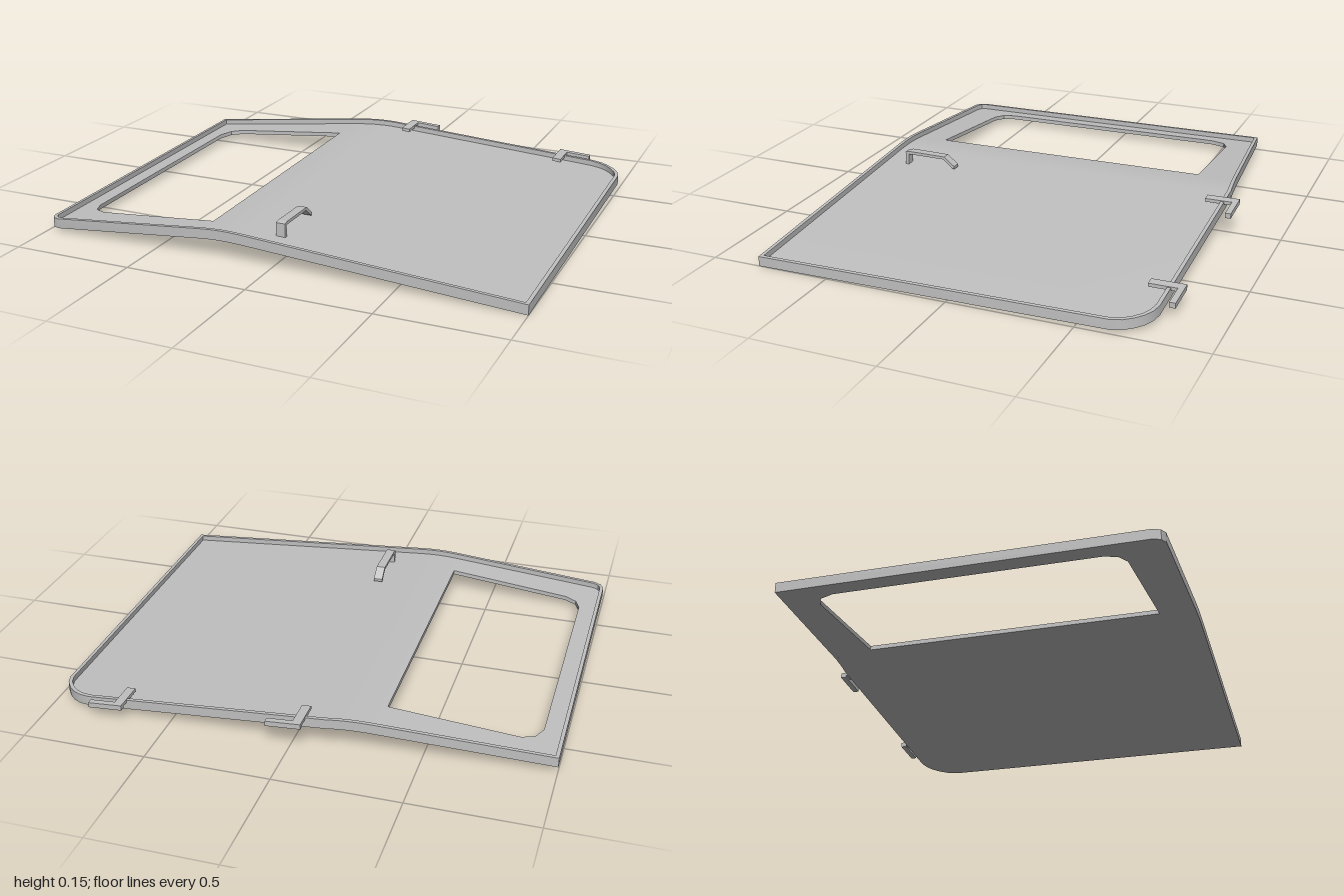
import * as THREE from 'three';
import { mergeGeometries, toCreasedNormals } from 'three/addons/utils/BufferGeometryUtils.js';

const RIM_WIDTH = 0.015, RIM_HEIGHT = 0.04, SKIN = 0.018;
const BEND = [-0.3, -0.255, -0.215, -0.175, -0.13];

// Plan outlines as [x, z]
const OUTLINE = [
  [-1, -0.655], [-0.13, -0.754], [0.84, -0.762], [0.885, -0.752], [0.92, -0.733],
  [0.95, -0.705], [0.975, -0.67], [0.988, -0.63], [1, 0.797], [-0.95, 0.805],
  [-0.98, 0.792], [-0.995, 0.765],
];
const WINDOW = [
  [-0.325, -0.557], [-0.84, -0.545], [-0.89, -0.52], [-0.915, -0.46],
  [-0.91, 0.57], [-0.89, 0.62], [-0.84, 0.645], [-0.318, 0.66],
];

// Height of the underside: two gentle slopes joined by a soft bend, slightly tilted
function underside(x, z) {
  const a = BEND[0], b = BEND[BEND.length - 1], s1 = 0.094, s2 = -0.0697;
  let y = 0.015 + (Math.min(x, a) + 1) * s1;
  if (x > a) {
    const u = Math.min(x, b) - a;
    y += s1 * u + ((s2 - s1) * u * u) / (2 * (b - a));
  }
  if (x > b) y += (x - b) * s2;
  return y + (0.8 - z) * 0.006;
}

// Keep the part of a polygon on one side of x = c
function clip(points, c, side) {
  const out = [];
  points.forEach((p, i) => {
    const q = points[(i + 1) % points.length];
    const dp = (p[0] - c) * side, dq = (q[0] - c) * side;
    if (dp >= 0) out.push(p);
    if (dp * dq < 0) out.push([c, p[1] + ((q[1] - p[1]) * dp) / (dp - dq)]);
  });
  return out;
}

// Add points where the outline crosses the bend lines
function addBendPoints(points) {
  return points.flatMap((p, i) => {
    const q = points[(i + 1) % points.length];
    const ts = BEND.map(c => (c - p[0]) / (q[0] - p[0])).filter(t => t > 0.001 && t < 0.999).sort((a, b) => a - b);
    return [p, ...ts.map(t => [p[0] + (q[0] - p[0]) * t, p[1] + (q[1] - p[1]) * t])];
  });
}

function inset(points, w) {
  const n = points.length;
  const normal = (p, q) => {
    const l = Math.hypot(q[0] - p[0], q[1] - p[1]);
    return [-(q[1] - p[1]) / l, (q[0] - p[0]) / l];
  };
  return points.map((p, i) => {
    const a = normal(points[(i + n - 1) % n], p), b = normal(p, points[(i + 1) % n]);
    const k = w / (1 + a[0] * b[0] + a[1] * b[1]);
    return [p[0] + (a[0] + b[0]) * k, p[1] + (a[1] + b[1]) * k];
  });
}

// Extrude a plan shape upward and lay it on the bent surface
function bentSlab(points, low, high, hole) {
  const toVec = ([x, z]) => new THREE.Vector2(x, -z);
  const shape = new THREE.Shape(points.map(toVec));
  if (hole) shape.holes.push(new THREE.Path(hole.map(toVec)));
  const g = new THREE.ExtrudeGeometry(shape, { depth: high - low, bevelEnabled: false });
  g.rotateX(-Math.PI / 2);
  const p = g.attributes.position;
  for (let i = 0; i < p.count; i++) p.setY(i, p.getY(i) + low + underside(p.getX(i), p.getZ(i)));
  g.computeVertexNormals();
  return g;
}

const rect = (x0, x1, z0, z1) => [[x0, z0], [x1, z0], [x1, z1], [x0, z1]];

function rimGeometry(outer, inner) {
  const rings = outer.map(([x, z], i) => {
    const [u, v] = inner[i];
    const yo = underside(x, z), yi = underside(u, v);
    return [[x, yo, z], [x, yo + RIM_HEIGHT, z], [u, yi + RIM_HEIGHT, v], [u, yi, v]];
  });
  const pos = [];
  rings.forEach((r, i) => {
    const s = rings[(i + 1) % rings.length];
    for (let k = 0; k < 4; k++) {
      const m = (k + 1) % 4;
      pos.push(...r[k], ...r[m], ...s[m], ...r[k], ...s[m], ...s[k]);
    }
  });
  const g = new THREE.BufferGeometry();
  g.setAttribute('position', new THREE.Float32BufferAttribute(pos, 3));
  return toCreasedNormals(g, 0.5);
}

export function createModel() {
  const model = new THREE.Group();
  const grey = new THREE.MeshStandardMaterial({ color: 0xc0c0c0 });
  grey.name = 'light grey';
  const add = (name, geometry, parent = model) => {
    const mesh = new THREE.Mesh(geometry, grey);
    mesh.name = name;
    parent.add(mesh);
  };

  // Door skin, cut into strips along the bend, with the window opening
  const outer = addBendPoints(OUTLINE);
  const inner = inset(outer, RIM_WIDTH);
  const limits = [-2, ...BEND, 2];
  const strips = limits.slice(1).map((end, i) =>
    bentSlab(clip(clip(inner, limits[i], 1), end, -1), 0, SKIN, i === 0 ? WINDOW : null));
  add('doorSkin', toCreasedNormals(mergeGeometries(strips), 0.5));

  // Raised rim around the edge
  add('rim', rimGeometry(outer, inner));

  // Hinges on the back edge
  [['leftHinge', 0.677], ['rightHinge', -0.055]].forEach(([name, x]) => {
    const hinge = new THREE.Group();
    hinge.name = name;
    add('hingeStrap', bentSlab(rect(x, x + 0.037, -0.79, -0.675), 0.03, 0.044), hinge);
    add('hingeArm', bentSlab(rect(x, x + 0.14, -0.811, -0.787), 0.023, 0.044), hinge);
    model.add(hinge);
  });

  // Pull handle, profile as [z, y]
  const profile = [
    [0.69, 0.088], [0.69, 0.148], [0.67, 0.152], [0.5, 0.15], [0.452, 0.112], [0.452, 0.1],
    [0.458, 0.1], [0.505, 0.138], [0.675, 0.139], [0.675, 0.088],
  ];
  const handle = new THREE.ExtrudeGeometry(
    new THREE.Shape(profile.map(([z, y]) => new THREE.Vector2(-z, y))), { depth: 0.038, bevelEnabled: false });
  handle.rotateY(Math.PI / 2).translate(-0.028, 0, 0);
  add('handle', handle);

  return model;
}
